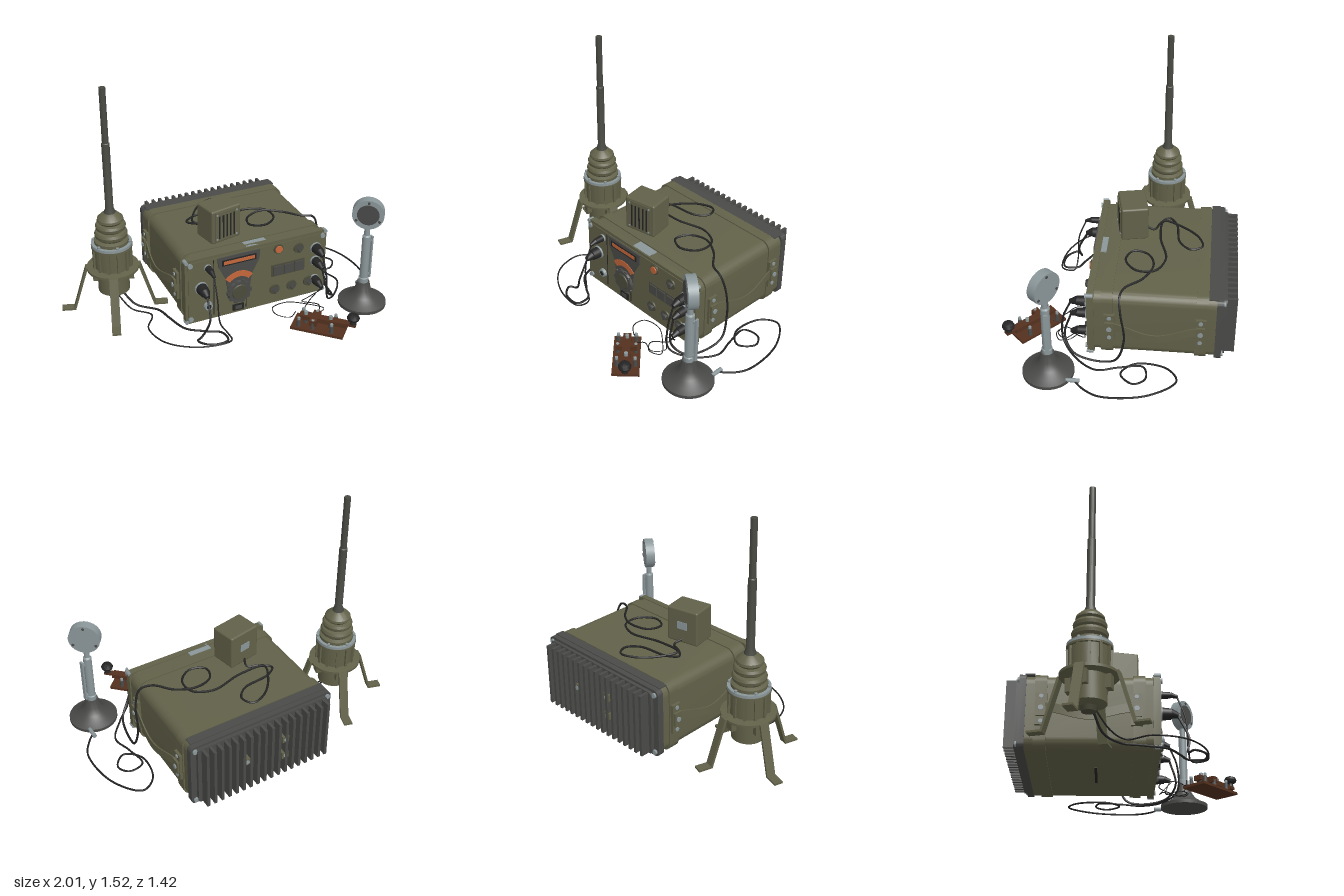
import * as THREE from 'three';
import { toCreasedNormals } from 'three/addons/utils/BufferGeometryUtils.js';
import { RoundedBoxGeometry } from 'three/addons/geometries/RoundedBoxGeometry.js';

const colour = (name, hex) => Object.assign(new THREE.MeshStandardMaterial({ color: hex }), { name });
const olive = colour('olive paint', 0x626149);
const darkOlive = colour('dark olive', 0x4b4b3b);
const charcoal = colour('charcoal metal', 0x4a4a49);
const black = colour('black rubber', 0x242424);
const steel = colour('steel', 0x8b979a);
const mast = colour('mast grey green', 0x484a42);
const wood = colour('dark wood', 0x55311f);
const orange = colour('orange lamp', 0xc4673a);

export function createModel() {
  const model = new THREE.Group();
  const group = (name, x = 0, y = 0, z = 0, ry = 0, parent = model) => {
    const g = new THREE.Group();
    g.name = name; g.position.set(x, y, z); g.rotation.y = ry;
    parent.add(g);
    return g;
  };
  const add = (parent, name, geo, mat, x = 0, y = 0, z = 0) => {
    const m = new THREE.Mesh(geo, mat);
    m.name = name; m.position.set(x, y, z);
    parent.add(m);
    return m;
  };
  const box = (p, name, mat, w, h, d, x, y, z) => add(p, name, new THREE.BoxGeometry(w, h, d), mat, x, y, z);
  const cyl = (p, name, mat, r1, r2, h, x, y, z, n = 24) => add(p, name, new THREE.CylinderGeometry(r1, r2, h, n), mat, x, y, z);
  // cylinder lying along z, r1 is the radius at its +z end
  const cylZ = (p, name, mat, r1, r2, h, x, y, z, n = 24) => {
    const m = cyl(p, name, mat, r1, r2, h, x, y, z, n);
    m.rotation.x = Math.PI / 2;
    return m;
  };
  const lathe = (p, name, mat, pts, n = 40) => add(p, name,
    toCreasedNormals(new THREE.LatheGeometry(pts.map(q => new THREE.Vector2(...q)), n), 0.5), mat);
  // rounded rectangle swept along z
  const slab = (p, name, mat, x0, x1, y0, y1, z0, z1, r) => {
    const s = new THREE.Shape();
    s.absarc(x1 - r, y1 - r, r, 0, Math.PI / 2);
    s.absarc(x0 + r, y1 - r, r, Math.PI / 2, Math.PI);
    s.absarc(x0 + r, y0 + r, r, Math.PI, Math.PI * 1.5);
    s.absarc(x1 - r, y0 + r, r, Math.PI * 1.5, Math.PI * 2);
    const g = new THREE.ExtrudeGeometry(s, { depth: z1 - z0, bevelEnabled: false, curveSegments: 6 });
    return add(p, name, toCreasedNormals(g, 0.5), mat, 0, 0, z0);
  };
  // cable through [x, z, y] points, y keeps its default when left out
  const cable = (name, r, y0, pts) => {
    const curve = new THREE.CatmullRomCurve3(pts.map(([x, z, y = y0]) => new THREE.Vector3(x, y, z)));
    add(model, name, new THREE.TubeGeometry(curve, pts.length * 9, r, 6), black);
  };

  // radio case
  const radio = group('radio');
  const CX = 0.148;
  slab(radio, 'caseBody', olive, -0.335, 0.632, 0.02, 0.47, -0.6, 0.14, 0.065);
  slab(radio, 'frontFrame', olive, -0.345, 0.64, 0.015, 0.475, 0.125, 0.165, 0.03);
  slab(radio, 'frontPanel', olive, -0.325, 0.62, 0.035, 0.455, 0.16, 0.17, 0.02);
  for (const z of [0.012, -0.55]) slab(radio, 'caseBand', olive, -0.343, 0.64, 0.013, 0.477, z, z + 0.07, 0.06);
  slab(radio, 'rearFlange', charcoal, -0.34, 0.637, 0.02, 0.47, -0.64, -0.6, 0.03);
  box(radio, 'topGasket', charcoal, 0.94, 0.006, 0.055, CX, 0.472, -0.58);
  box(radio, 'topLabel', steel, 0.15, 0.006, 0.065, 0.15, 0.472, 0.122);
  box(radio, 'bottomSlot', black, 0.3, 0.006, 0.015, CX, 0.02, -0.2);
  for (const x of [-0.312, 0.608]) for (const y of [0.05, 0.44]) {
    cylZ(radio, 'frontScrew', steel, 0.016, 0.016, 0.016, x, y, 0.172, 12);
    cylZ(radio, 'rearScrew', steel, 0.016, 0.016, 0.016, x, y, -0.644, 12);
    cylZ(radio, 'cornerBolt', steel, 0.013, 0.013, 0.04, x + Math.sign(x) * 0.024, y + Math.sign(y - 0.2) * 0.022, 0.15, 10);
  }

  // heat sink
  slab(radio, 'heatSinkPlate', charcoal, -0.3, 0.6, 0.035, 0.455, -0.66, -0.63, 0.02);
  for (let i = 0; i < 18; i++) box(radio, 'heatSinkFin', charcoal, 0.018, 0.41, 0.075, -0.27 + i * 0.0492, 0.245, -0.6825);
  for (const [x, y] of [[0.3, 0.26], [0.03, 0.31], [0.03, 0.18]]) {
    box(radio, 'heatSinkPost', olive, 0.045, 0.045, 0.07, x, y, -0.68);
    cylZ(radio, 'postScrew', steel, 0.014, 0.014, 0.01, x, y, -0.714, 10);
  }

  // side straps on brackets
  for (const s of [-1, 1]) {
    const sx = CX + s * 0.492;
    for (const z of [0.03, -0.51]) {
      box(radio, 'strapBracket', olive, 0.022, 0.19, 0.066, sx + s * 0.006, 0.245, z);
      box(radio, 'strapClamp', olive, 0.03, 0.09, 0.055, sx + s * 0.016, 0.245, z);
      for (const [y, r, o] of [[0.17, 0.013, 0.018], [0.32, 0.013, 0.018], [0.245, 0.016, 0.032]])
        cyl(radio, 'bracketScrew', steel, r, r, 0.01, sx + s * o, y, z, 12).rotation.z = Math.PI / 2;
    }
    const g = new THREE.BoxGeometry(0.008, 0.055, 0.54, 1, 1, 20), a = g.attributes.position;
    for (let i = 0; i < a.count; i++) {
      const k = Math.cos(a.getZ(i) / 0.27 * Math.PI / 2);
      a.setY(i, a.getY(i) - 0.055 * k * k);
      a.setX(i, a.getX(i) + s * 0.03 * k);
    }
    g.computeVertexNormals();
    add(radio, 'sideStrap', toCreasedNormals(g, 0.6), olive, sx + s * 0.012, 0.255, -0.24);
  }

  // dial plate, windows and tuning knob
  const half = [[0, 0.452], [0.145, 0.45], [0.14, 0.385], [0.09, 0.29], [0.075, 0.19], [0, 0.17]];
  const outline = [...half, ...half.slice(1, -1).reverse().map(([x, y]) => [-x, y])];
  const plate = new THREE.Shape(outline.map(([x, y]) => new THREE.Vector2(x, y)));
  add(radio, 'dialPlate', new THREE.ExtrudeGeometry(plate, { depth: 0.009, bevelEnabled: false }), charcoal, 0.015, 0, 0.169);
  box(radio, 'scaleFrame', black, 0.235, 0.042, 0.006, 0.015, 0.41, 0.178);
  box(radio, 'scaleWindow', orange, 0.21, 0.024, 0.006, 0.015, 0.41, 0.18);
  const arc = new THREE.Shape();
  arc.absarc(0, 0, 0.125, Math.PI * 0.23, Math.PI * 0.77);
  arc.absarc(0, 0, 0.085, Math.PI * 0.77, Math.PI * 0.23, true);
  add(radio, 'arcWindow', new THREE.ExtrudeGeometry(arc, { depth: 0.006, bevelEnabled: false }), orange, 0.015, 0.205, 0.176);
  cylZ(radio, 'tuningKnob', charcoal, 0.076, 0.082, 0.02, 0.015, 0.18, 0.182, 16);
  cylZ(radio, 'tuningCap', darkOlive, 0.05, 0.055, 0.008, 0.015, 0.18, 0.194);
  for (let i = 0; i < 10; i++) {
    const t = i * Math.PI / 5;
    box(radio, 'knobGrip', charcoal, 0.022, 0.022, 0.018, 0.015 + Math.cos(t) * 0.074, 0.18 + Math.sin(t) * 0.074, 0.181).rotation.z = t;
  }
  box(radio, 'panelSocket', black, 0.075, 0.045, 0.01, 0.013, 0.058, 0.172);
  box(radio, 'socketFace', charcoal, 0.045, 0.024, 0.012, 0.013, 0.058, 0.174);
  for (const x of [-0.155, 0.07]) box(radio, 'panelSeam', black, 0.005, x < 0 ? 0.4 : 0.2, 0.004, x, x < 0 ? 0.245 : 0.14, 0.17);

  // switches, lamp and sockets
  cylZ(radio, 'lampRing', darkOlive, 0.032, 0.034, 0.012, 0.291, 0.418, 0.173);
  cylZ(radio, 'lamp', orange, 0.024, 0.026, 0.02, 0.291, 0.418, 0.176);
  for (const [x, y] of [[0.436, 0.39], [0.27, 0.122], [0.393, 0.122], [0.516, 0.122]]) {
    cylZ(radio, 'switchBase', darkOlive, 0.034, 0.036, 0.01, x, y, 0.174, 20);
    cylZ(radio, 'switchKnob', charcoal, 0.026, 0.032, 0.022, x, y, 0.184, 3);
  }
  box(radio, 'buttonFrame', darkOlive, 0.235, 0.085, 0.008, 0.364, 0.262, 0.172);
  for (const x of [0.288, 0.364, 0.44]) box(radio, 'pushButton', charcoal, 0.062, 0.066, 0.016, x, 0.262, 0.176);
  cylZ(radio, 'spareSocket', steel, 0.026, 0.03, 0.02, -0.195, 0.123, 0.178);
  cylZ(radio, 'spareSocketHole', black, 0.015, 0.015, 0.004, -0.195, 0.123, 0.189);

  // cable plugs
  for (const [x, y, r] of [[-0.24, 0.265, 0.038], [-0.195, 0.4, 0.022], [0.56, 0.36, 0.034], [0.56, 0.265, 0.03], [0.56, 0.125, 0.03]]) {
    cylZ(radio, 'plugCollar', steel, r * 1.1, r * 1.15, 0.012, x, y, 0.174);
    cylZ(radio, 'plugBody', black, r * 0.85, r, 0.055, x, y, 0.205);
    cylZ(radio, 'plugBoot', black, r * 0.4, r * 0.8, 0.045, x, y - 0.004, 0.253).rotation.x += 0.25;
  }

  // loudspeaker on the case
  const speaker = group('speaker', -0.02, 0.475, -0.055, 0.2);
  add(speaker, 'speakerBox', new RoundedBoxGeometry(0.22, 0.23, 0.17, 2, 0.012), olive, 0, 0.115, 0);
  box(speaker, 'grillePlate', olive, 0.17, 0.2, 0.008, 0, 0.115, 0.086);
  for (let i = 0; i < 5; i++) box(speaker, 'grilleSlot', black, 0.011, 0.16, 0.004, -0.056 + i * 0.028, 0.11, 0.089);
  for (const x of [-0.074, 0.074]) for (const y of [0.03, 0.2]) cylZ(speaker, 'grilleScrew', steel, 0.007, 0.007, 0.01, x, y, 0.088, 10);
  box(speaker, 'rearLabel', steel, 0.07, 0.05, 0.004, 0, 0.12, -0.086);

  // antenna on four legs
  const antenna = group('antenna', -0.674, 0, -0.235);
  lathe(antenna, 'antennaBody', olive, [[0, 0.13], [0.07, 0.13], [0.1, 0.145], [0.1, 0.3], [0.165, 0.3], [0.165, 0.316], [0.115, 0.32], [0.115, 0.46], [0.13, 0.46], [0.13, 0.472], [0, 0.472]]);
  lathe(antenna, 'boltRing', steel, [[0.09, 0.472], [0.128, 0.472], [0.128, 0.49], [0.09, 0.49]]);
  lathe(antenna, 'insulator', olive, [[0.108, 0.49], [0.108, 0.51], [0.085, 0.52], [0.1, 0.535], [0.104, 0.555], [0.096, 0.572], [0.078, 0.578], [0.092, 0.59],
    [0.096, 0.61], [0.088, 0.625], [0.07, 0.63], [0.083, 0.645], [0.08, 0.66], [0.055, 0.685], [0.03, 0.7]]);
  lathe(antenna, 'antennaMast', mast, [[0.038, 0.68], [0.036, 0.7], [0.025, 0.73], [0.025, 1.16], [0.02, 1.165], [0.02, 1.515], [0, 1.515]], 20);
  for (let i = 0; i < 12; i++) {
    const spoke = group('rim', 0, 0, 0, i * Math.PI / 6, antenna);
    if (i % 2) cyl(spoke, 'ringBolt', steel, 0.01, 0.01, 0.018, 0.117, 0.493, 0, 6);
    box(spoke, 'bodyRib', olive, 0.018, 0.14, 0.016, 0.118, 0.39, 0);
  }
  // bent flat strip: outer edge out, inner edge back
  const legShape = new THREE.Shape([[0.1, 0.3], [0.163, 0.3], [0.252, 0.01], [0.34, 0.01], [0.34, 0.022], [0.262, 0.022], [0.174, 0.316], [0.1, 0.316]].map(q => new THREE.Vector2(...q)));
  const legGeo = new THREE.ExtrudeGeometry(legShape, { depth: 0.055, bevelEnabled: false }).translate(0, 0, -0.0275);
  for (let i = 0; i < 4; i++) {
    const leg = group('leg', 0, 0, 0, -0.3 + i * Math.PI / 2, antenna);
    add(leg, 'legStrip', legGeo, olive);
    box(leg, 'legBracket', olive, 0.035, 0.09, 0.055, 0.112, 0.265, 0);
  }
  cyl(antenna, 'lowerCap', darkOlive, 0.05, 0.04, 0.03, 0, 0.118, 0);

  // desk microphone
  const mic = group('microphone', 0.805, 0, 0.38);
  lathe(mic, 'micBase', charcoal, [[0, 0.004], [0.155, 0.004], [0.155, 0.025], [0.12, 0.042], [0.08, 0.07], [0.052, 0.11], [0.04, 0.165], [0, 0.165]]);
  lathe(mic, 'micStem', steel, [[0.032, 0.16], [0.032, 0.195], [0.027, 0.2], [0.027, 0.5], [0.018, 0.51], [0.018, 0.58]], 24);
  const head = group('micHead', 0, 0.663, 0, -0.62, mic);
  cylZ(head, 'micShell', steel, 0.1, 0.1, 0.06, 0, 0, 0, 32);
  cylZ(head, 'micGrille', charcoal, 0.068, 0.07, 0.006, 0, 0, 0.031, 32);
  for (let i = 0; i < 3; i++) {
    const t = Math.PI / 2 + i * Math.PI * 2 / 3;
    for (const z of [-0.031, 0.031]) cylZ(head, 'micScrew', charcoal, 0.009, 0.009, 0.006, Math.cos(t) * 0.083, Math.sin(t) * 0.083, z, 10);
  }
  const talk = group('talkLever', 0, 0, 0, 0.2, mic);
  box(talk, 'leverBar', steel, 0.012, 0.3, 0.025, 0.045, 0.335, 0);
  for (const y of [0.21, 0.46]) box(talk, 'leverArm', steel, 0.025, 0.014, 0.018, 0.032, y, 0);
  cylZ(mic, 'micCablePlug', steel, 0.012, 0.014, 0.08, 0.08, 0.022, -0.155, 12).rotation.y = -0.5;

  // telegraph key, local x runs towards the knob
  const key = group('telegraphKey', 0.415, 0, 0.515, -0.775);
  box(key, 'keyBase', wood, 0.335, 0.016, 0.165, 0, 0.012, 0);
  box(key, 'keyLever', wood, 0.3, 0.03, 0.05, 0.02, 0.066, 0);
  box(key, 'keyBridge', wood, 0.045, 0.035, 0.13, -0.03, 0.064, 0);
  for (const x of [-0.12, -0.03, 0.09]) for (const z of [-0.055, 0.055]) {
    cyl(key, 'keyPost', charcoal, 0.012, 0.014, 0.05, x, 0.04, z, 12);
    cyl(key, 'keyTerminal', steel, 0.01, 0.01, 0.014, x, 0.078, z, 12);
  }
  for (const x of [-0.09, 0.07]) {
    cyl(key, 'leverPost', charcoal, 0.014, 0.014, 0.05, x, 0.04, 0, 12);
    cyl(key, 'leverScrew', steel, 0.012, 0.012, 0.03, x, 0.088, 0, 12);
  }
  const knob = lathe(key, 'keyKnob', black, [[0.02, 0.08], [0.016, 0.1], [0.036, 0.112], [0.04, 0.125], [0.032, 0.142], [0.014, 0.15], [0, 0.151]], 24);
  knob.position.x = 0.21;
  box(key, 'knobArm', wood, 0.07, 0.016, 0.035, 0.195, 0.072, 0);

  // cables
  cable('speakerCable', 0.007, 0.483, [[-0.035, -0.135, 0.5], [-0.02, -0.19], [-0.1, -0.23], [-0.15, -0.28], [-0.085, -0.33], [0.1, -0.36], [0.165, -0.43], [0.13, -0.5],
    [0.03, -0.47], [-0.075, -0.35], [-0.11, -0.25, 0.487], [0.06, -0.235], [0.27, -0.28], [0.39, -0.22], [0.395, -0.107], [0.3, -0.037], [0.21, -0.08], [0.235, -0.17],
    [0.35, -0.21, 0.49], [0.47, -0.155], [0.57, -0.05], [0.645, -0.03, 0.47], [0.685, -0.04, 0.38], [0.69, -0.06, 0.17], [0.7, 0, 0.02], [0.66, 0.24, 0.02], [0.585, 0.31, 0.1], [0.56, 0.27, 0.255]]);
  cable('micCable', 0.006, 0.014, [[0.89, 0.21, 0.02], [0.93, 0.17], [0.99, 0.06], [0.96, -0.22], [0.83, -0.385], [0.73, -0.32], [0.71, -0.13], [0.8, -0.05], [0.875, -0.13],
    [0.83, -0.2], [0.73, -0.18], [0.75, -0.03], [0.78, 0.1], [0.68, 0.24], [0.58, 0.32, 0.06], [0.565, 0.32, 0.22], [0.56, 0.27, 0.35]]);
  cable('antennaCable', 0.007, 0.014, [[-0.63, -0.21, 0.12], [-0.56, -0.16, 0.03], [-0.44, -0.06], [-0.41, 0.05], [-0.36, 0.2], [-0.25, 0.28], [-0.17, 0.33], [-0.17, 0.42],
    [-0.28, 0.42], [-0.34, 0.35], [-0.3, 0.32], [-0.25, 0.33, 0.12], [-0.24, 0.27, 0.255]]);
  cable('antennaControlCable', 0.005, 0.014, [[-0.67, -0.2, 0.12], [-0.6, -0.12, 0.03], [-0.5, -0.03], [-0.57, 0.1], [-0.54, 0.26], [-0.45, 0.36], [-0.3, 0.43], [-0.15, 0.43],
    [-0.14, 0.35], [-0.18, 0.33, 0.08], [-0.195, 0.32, 0.25], [-0.195, 0.27, 0.39]]);
  cable('keyWire', 0.003, 0.008, [[0.33, 0.36, 0.05], [0.3, 0.35], [0.23, 0.29], [0.24, 0.21], [0.35, 0.19], [0.46, 0.26], [0.54, 0.35], [0.47, 0.38], [0.42, 0.32], [0.49, 0.24], [0.56, 0.27, 0.115]]);
  cable('keyWireReturn', 0.003, 0.008, [[0.4, 0.42, 0.05], [0.4, 0.35], [0.48, 0.37], [0.53, 0.3], [0.45, 0.22], [0.5, 0.2], [0.565, 0.28, 0.11]]);
  return model;
}
